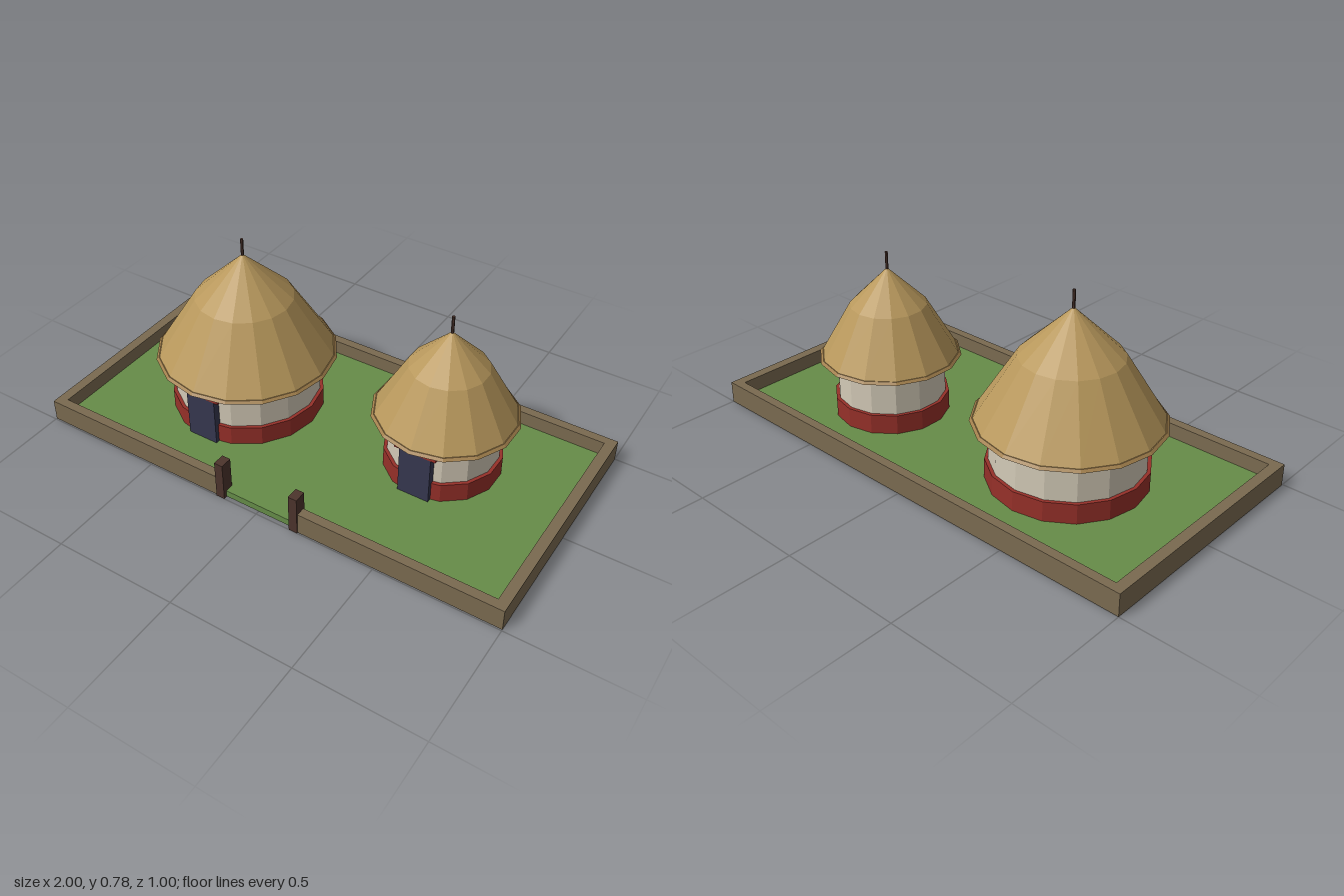
import * as THREE from 'three';

const flat = (name, color) => {
  const m = new THREE.MeshStandardMaterial({ color, flatShading: true });
  m.name = name;
  return m;
};

export function createModel() {
  const mats = {
    grass: flat('grass', 0x668c48),
    mudWall: flat('mud wall', 0x7a6a50),
    thatch: flat('thatch', 0xb8985c),
    eave: flat('eave thatch', 0xa17f4c),
    plaster: flat('plaster', 0xd2c9b6),
    redClay: flat('red clay', 0x963029),
    door: flat('door', 0x36374f),
    wood: flat('dark wood', 0x4c342c),
  };
  const model = new THREE.Group();
  model.name = 'hutCompound';

  const add = (parent, name, geometry, material) => {
    const mesh = new THREE.Mesh(geometry, material);
    mesh.name = name;
    parent.add(mesh);
    return mesh;
  };
  // Box given by its limits on each axis
  const box = (parent, name, material, [x0, x1], [y0, y1], [z0, z1]) =>
    add(parent, name, new THREE.BoxGeometry(x1 - x0, y1 - y0, z1 - z0), material)
      .position.set((x0 + x1) / 2, (y0 + y1) / 2, (z0 + z1) / 2);
  // Upright cylinder or cone between two heights
  const drum = (parent, name, material, rBottom, rTop, y0, y1, sides, open = false) => {
    add(parent, name, new THREE.CylinderGeometry(rTop, rBottom, y1 - y0, sides, 1, open), material)
      .position.y = (y0 + y1) / 2;
  };

  // Yard and its low surrounding wall, open at the gate
  box(model, 'yard', mats.grass, [-0.98, 0.98], [0.002, 0.03], [-0.48, 0.485]);
  const wallY = [0, 0.09];
  box(model, 'backWall', mats.mudWall, [-1, 1], wallY, [-0.5, -0.463]);
  for (const s of [-1, 1]) {
    const side = s < 0 ? 'right' : 'left';
    const span = (a, b) => (s < 0 ? [-b, -a] : [a, b]);
    box(model, side + 'Wall', mats.mudWall, span(0.958, 1), wallY, [-0.463, 0.457]);
    box(model, side + 'FrontWall', mats.mudWall, span(0.165, 1), wallY, [0.457, 0.495]);
    box(model, side + 'GatePost', mats.wood, span(0.146, 0.182), [0, 0.163], [0.45, 0.5]);
  }

  // Round hut with a two-slope thatched roof
  const addHut = (name, h) => {
    const hut = new THREE.Group();
    hut.name = name;
    hut.position.set(h.x, 0, h.z);
    model.add(hut);
    const n = h.sides;
    drum(hut, 'hutWall', mats.plaster, h.wall, h.wall - 0.003, 0.03, 0.272, n);
    drum(hut, 'baseBand', mats.redClay, h.wall + 0.013, h.wall + 0.013, 0.03, 0.11, n);
    drum(hut, 'topBand', mats.redClay, h.wall + 0.006, h.wall + 0.006, 0.26, 0.275, n);
    drum(hut, 'eave', mats.eave, h.roof, h.roof - 0.01, 0.273, 0.283, n);
    drum(hut, 'lowerThatch', mats.thatch, h.roof - 0.012, h.knee, 0.281, h.kneeY, n, true);
    drum(hut, 'upperThatch', mats.thatch, h.knee, 0, h.kneeY, h.apex, n, true);
    drum(hut, 'roofPole', mats.wood, 0.006, 0.006, h.apex - 0.02, h.apex + 0.065, 6);
    // Doorway set against the front of the wall
    const front = h.doorFront - h.z;
    box(hut, 'door', mats.door, [-0.065, 0.065], [0.03, 0.236], [front - 0.03, front]);
    box(hut, 'lintel', mats.redClay, [-0.085, 0.085], [0.233, 0.262], [front - 0.032, front + 0.002]);
  };
  addHut('largeHut', {
    x: -0.405, z: -0.023, sides: 16, wall: 0.295, roof: 0.363,
    knee: 0.195, kneeY: 0.53, apex: 0.715, doorFront: 0.29,
  });
  addHut('smallHut', {
    x: 0.45, z: -0.104, sides: 14, wall: 0.218, roof: 0.284,
    knee: 0.152, kneeY: 0.49, apex: 0.64, doorFront: 0.13,
  });

  return model;
}
